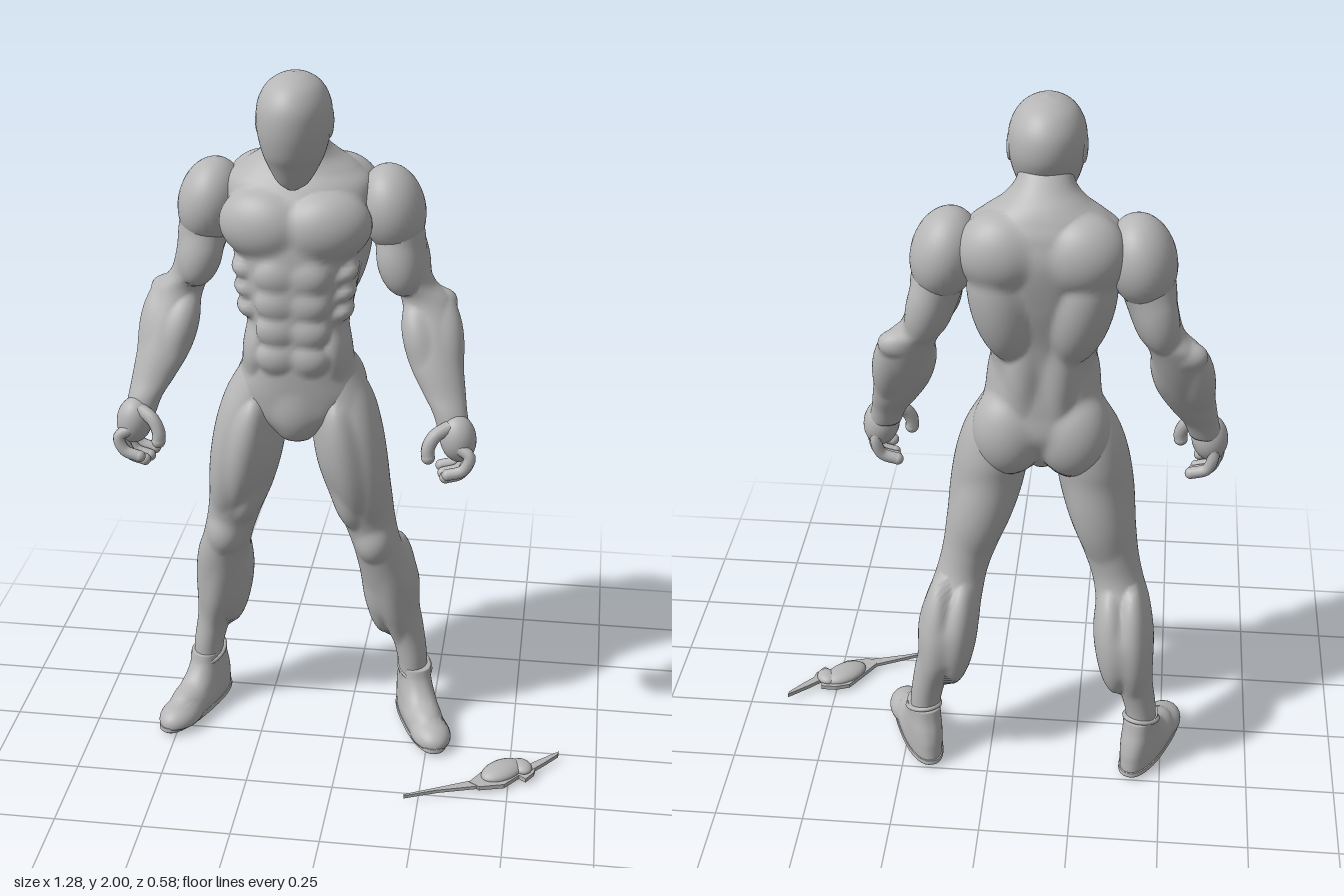
import * as THREE from 'three';

const grey = new THREE.MeshStandardMaterial({ color: 0xb6b6b6 });
grey.name = 'plain grey';

function add(parent, name, geometry) {
  const mesh = new THREE.Mesh(geometry, grey);
  mesh.name = name;
  parent.add(mesh);
  return mesh;
}

// Muscle under the skin: inverse matrix of a scaled, turned ball; side mirrors it across x
function bulge(side, [x, y, z], size, [ax, ay, az] = [0, 0, 0]) {
  const turn = new THREE.Quaternion().setFromEuler(new THREE.Euler(ax, ay * side, az * side));
  return new THREE.Matrix4().compose(new THREE.Vector3(x * side, y, z), turn, new THREE.Vector3(...size)).invert();
}

// Distance from c along unit direction d to the far side of a bulge, or 0
function reach(inverse, c, d) {
  const p = c.clone().applyMatrix4(inverse);
  const q = c.clone().add(d).applyMatrix4(inverse).sub(p);
  const a = q.dot(q), b = p.dot(q), disc = b * b - a * (p.dot(p) - 1);
  return disc > 0 ? (Math.sqrt(disc) - b) / a : 0;
}

function smoothMax(a, b, k = 0.012) {
  const h = Math.max(k - Math.abs(a - b), 0) / k;
  return Math.max(a, b) + h * h * k / 4;
}

// Smooth body through horizontal sections [x, y, z, rx, rz] from low to high, swollen by bulges
function loft(sections, { side = 1, around = 40, steps = 6, power = 2, bulges = [] } = {}) {
  const spline = points => new THREE.CatmullRomCurve3(points, false, 'catmullrom');
  const centre = spline(sections.map(s => new THREE.Vector3(s[0] * side, s[1], s[2])));
  const radius = spline(sections.map(s => new THREE.Vector3(s[3], s[4], 0)));
  const rows = (sections.length - 1) * steps;
  const pos = [], idx = [];
  const bend = v => Math.sign(v) * Math.abs(v) ** (2 / power);
  for (let r = 0; r <= rows; r++) {
    const c = centre.getPoint(r / rows), e = radius.getPoint(r / rows);
    for (let i = 0; i < around; i++) {
      const a = (i / around) * Math.PI * 2;
      const d = new THREE.Vector3(bend(Math.cos(a)) * e.x, 0, bend(Math.sin(a)) * e.y);
      let length = d.length();
      d.normalize();
      for (const b of bulges) length = smoothMax(length, reach(b, c, d));
      pos.push(c.x + d.x * length, c.y, c.z + d.z * length);
    }
  }
  for (let r = 0; r < rows; r++) {
    for (let i = 0; i < around; i++) {
      const a = r * around + i, b = r * around + (i + 1) % around;
      idx.push(a, a + around, b, b, a + around, b + around);
    }
  }
  // end caps
  const first = sections[0], last = sections[sections.length - 1], low = pos.length / 3, top = rows * around;
  pos.push(first[0] * side, first[1], first[2], last[0] * side, last[1], last[2]);
  for (let i = 0; i < around; i++) {
    const j = (i + 1) % around;
    idx.push(low, i, j, low + 1, top + j, top + i);
  }
  const g = new THREE.BufferGeometry();
  g.setAttribute('position', new THREE.Float32BufferAttribute(pos, 3));
  g.setIndex(idx);
  g.computeVertexNormals();
  return g;
}

// Separate rounded part
function ball(parent, name, side, [x, y, z], size, [ax, ay, az] = [0, 0, 0]) {
  const m = add(parent, name, new THREE.SphereGeometry(1, 32, 22));
  m.position.set(x * side, y, z);
  m.scale.set(...size);
  m.rotation.set(ax, ay * side, az * side);
}

function buildTorso(body) {
  const bulges = [bulge(1, [0, 1.07, -0.03], [0.08, 0.11, 0.067])];
  for (const s of [1, -1]) {
    bulges.push(
      bulge(s, [0.085, 1.592, -0.035], [0.122, 0.098, 0.082], [-0.15, 0.2, 0.1]), // pectoral
      bulge(s, [0.1, 1.64, -0.195], [0.115, 0.11, 0.094]), // shoulder blade
      bulge(s, [0.1, 1.5, -0.17], [0.088, 0.19, 0.1], [-0.12, 0, -0.18]), // latissimus
      bulge(s, [0.045, 1.3, -0.165], [0.05, 0.18, 0.05]), // lower back
      bulge(s, [0.1, 1.24, -0.065], [0.05, 0.11, 0.088], [0, 0, 0.12]), // oblique
      bulge(s, [0.085, 1.09, -0.13], [0.1, 0.13, 0.094])); // glute
    for (let i = 0; i < 4; i++) bulges.push(bulge(s, [0.044, 1.462 - i * 0.077, 0.016], [0.056, 0.05, 0.033]));
    for (let i = 0; i < 3; i++) {
      bulges.push(bulge(s, [0.125 - i * 0.006, 1.47 - i * 0.055, -0.045], [0.046, 0.034, 0.055], [0, 0.5, 0.4]));
    }
  }
  add(body, 'torso', loft([
    [0, 0.975, -0.07, 0.035, 0.06], [0, 1.03, -0.075, 0.125, 0.1], [0, 1.1, -0.088, 0.184, 0.12],
    [0, 1.18, -0.085, 0.158, 0.121], [0, 1.28, -0.083, 0.138, 0.12], [0, 1.38, -0.088, 0.154, 0.128],
    [0, 1.5, -0.105, 0.177, 0.144], [0, 1.62, -0.125, 0.194, 0.147], [0, 1.69, -0.14, 0.196, 0.123],
    [0, 1.73, -0.147, 0.158, 0.1], [0, 1.765, -0.143, 0.108, 0.083], [0, 1.8, -0.122, 0.076, 0.071],
    [0, 1.85, -0.09, 0.06, 0.06]], { around: 120, steps: 10, power: 2.2, bulges }));
}

function buildHead(body) {
  add(body, 'head', loft([
    [0, 1.7, -0.008, 0.014, 0.012], [0, 1.718, -0.018, 0.042, 0.034], [0, 1.76, -0.033, 0.068, 0.072],
    [0, 1.8, -0.041, 0.085, 0.102], [0, 1.86, -0.05, 0.098, 0.126], [0, 1.92, -0.052, 0.096, 0.126],
    [0, 1.965, -0.052, 0.075, 0.1], [0, 1.99, -0.052, 0.042, 0.058], [0, 2, -0.052, 0.004, 0.004]], { around: 48 }));
  for (const s of [1, -1]) ball(body, 'earDisc', s, [0.093, 1.87, -0.057], [0.009, 0.04, 0.04]);
}

function buildArm(body, s) {
  const arm = new THREE.Group();
  arm.name = s > 0 ? 'leftArm' : 'rightArm';
  body.add(arm);
  const bulges = [
    bulge(s, [0.27, 1.475, -0.105], [0.057, 0.095, 0.052], [-0.1, 0, 0.25]), // biceps
    bulge(s, [0.292, 1.48, -0.185], [0.054, 0.115, 0.053], [0, 0, 0.25]), // triceps
    bulge(s, [0.382, 1.35, -0.163], [0.046, 0.036, 0.036]), // elbow
    bulge(s, [0.405, 1.255, -0.11], [0.048, 0.12, 0.05], [-0.35, 0, 0.1]), // outer forearm
    bulge(s, [0.332, 1.265, -0.095], [0.046, 0.1, 0.05], [-0.35, 0, 0.25])]; // inner forearm
  add(arm, 'armMuscles', loft([
    [0.44, 1.03, -0.01, 0.044, 0.036], [0.425, 1.08, -0.025, 0.048, 0.042], [0.405, 1.13, -0.05, 0.06, 0.048],
    [0.38, 1.2, -0.08, 0.074, 0.056], [0.365, 1.28, -0.115, 0.074, 0.06], [0.345, 1.36, -0.147, 0.07, 0.058],
    [0.305, 1.41, -0.15, 0.062, 0.064], [0.28, 1.48, -0.145, 0.065, 0.078], [0.265, 1.55, -0.15, 0.072, 0.084],
    [0.25, 1.63, -0.15, 0.07, 0.085]], { side: s, around: 56, steps: 9, bulges }));
  ball(arm, 'deltoid', s, [0.248, 1.612, -0.152], [0.089, 0.123, 0.108], [0, 0, 0.22]);
  // hand with curled fingers
  ball(arm, 'palm', s, [0.452, 1.015, 0.005], [0.05, 0.068, 0.052], [0, 0, 0.15]);
  const digit = (name, points, r) => {
    const curve = new THREE.CatmullRomCurve3(points.map(p => new THREE.Vector3(p[0] * s, p[1], p[2])));
    add(arm, name, new THREE.TubeGeometry(curve, 14, r, 10));
    ball(arm, name + 'Tip', s, points[points.length - 1], [r, r, r]);
  };
  for (let i = 0; i < 4; i++) {
    const z = 0.052 - i * 0.028, y = i === 0 ? 0.022 : i === 3 ? 0.01 : 0, x = i * 0.008;
    digit('finger', [[0.46, 1.0, z * 0.8], [0.488 - x, 0.96 + y, z], [0.472 - x, 0.92 + y, z + 0.004], [0.43 - x, 0.905 + y, z + 0.006]], 0.0165);
  }
  digit('thumb', [[0.43, 1.055, 0.022], [0.392, 1.035, 0.042], [0.374, 1.0, 0.052], [0.375, 0.975, 0.055]], 0.019);
}

function buildLeg(body, s) {
  const leg = new THREE.Group();
  leg.name = s > 0 ? 'leftLeg' : 'rightLeg';
  body.add(leg);
  const out = s > 0 ? 0.022 : 0; // the left foot stands a little wider
  const bulges = [
    bulge(s, [0.182, 0.92, -0.06], [0.066, 0.22, 0.09], [0, 0, 0.16]), // outer thigh
    bulge(s, [0.145, 0.92, -0.012], [0.055, 0.18, 0.064], [0.1, 0, 0.2]), // front thigh
    bulge(s, [0.145, 0.78, -0.055], [0.046, 0.1, 0.062], [0, 0, 0.25]), // inner thigh
    bulge(s, [0.155, 0.85, -0.135], [0.07, 0.18, 0.06], [0, 0, 0.2]), // hamstring
    bulge(s, [0.216, 0.64, -0.062], [0.052, 0.068, 0.05]), // knee
    bulge(s, [0.215 + out / 2, 0.44, -0.172], [0.053, 0.17, 0.087], [0.08, 0, 0.1]), // inner calf
    bulge(s, [0.27 + out / 2, 0.44, -0.172], [0.052, 0.18, 0.089], [0.08, 0, 0.06]), // outer calf
    bulge(s, [0.255 + out / 2, 0.42, -0.115], [0.038, 0.18, 0.046], [0.2, 0, 0.15])]; // shin
  add(leg, 'legMuscles', loft([
    [0.303 + out, 0.1, -0.165, 0.042, 0.05], [0.3 + out, 0.2, -0.165, 0.044, 0.054],
    [0.278 + out, 0.3, -0.17, 0.053, 0.065], [0.254 + out / 2, 0.38, -0.168, 0.074, 0.09],
    [0.243 + out / 2, 0.47, -0.157, 0.083, 0.099], [0.236, 0.55, -0.128, 0.076, 0.087],
    [0.218, 0.62, -0.103, 0.071, 0.077], [0.196, 0.7, -0.095, 0.076, 0.08], [0.17, 0.8, -0.085, 0.09, 0.102],
    [0.148, 0.9, -0.075, 0.097, 0.112], [0.134, 1.0, -0.08, 0.098, 0.114], [0.12, 1.09, -0.085, 0.086, 0.1],
    [0.105, 1.18, -0.085, 0.05, 0.075]], { side: s, around: 64, steps: 8, bulges }));
  // shoe, turned outwards about the ankle
  const shoe = new THREE.Group();
  shoe.name = 'shoe';
  shoe.position.set(s * (0.303 + out * 1.2), 0, -0.165);
  shoe.rotation.y = s * 0.38;
  leg.add(shoe);
  add(shoe, 'sole', loft([
    [0, 0.006, 0.077, 0.05, 0.164], [0, 0.013, 0.077, 0.057, 0.171], [0, 0.026, 0.077, 0.056, 0.17]], { power: 2.4 }));
  const toes = [bulge(1, [0.004, 0.03, 0.165], [0.058, 0.046, 0.08]), bulge(1, [0, 0.05, 0.1], [0.052, 0.05, 0.09])];
  add(shoe, 'shoeUpper', loft([
    [0, 0.02, 0.077, 0.054, 0.167], [0, 0.05, 0.06, 0.055, 0.148], [0, 0.078, 0.032, 0.052, 0.118],
    [0, 0.11, 0.009, 0.049, 0.088], [0, 0.145, 0, 0.046, 0.068], [0, 0.18, -0.002, 0.046, 0.059]],
    { around: 56, power: 2.3, bulges: toes }));
  const cuff = add(shoe, 'ankleCuff', new THREE.TorusGeometry(0.046, 0.007, 10, 32));
  cuff.rotation.x = Math.PI / 2 + 0.35;
  cuff.position.set(0, 0.168, 0);
  cuff.scale.y = 1.25;
}

// Dagger lying on the ground, outlined in x and z
function buildDagger(group) {
  const dagger = new THREE.Group();
  dagger.name = 'dagger';
  group.add(dagger);
  const plate = (name, outline, bottom, height) => {
    const shape = new THREE.Shape(outline.map(p => new THREE.Vector2(...p)));
    const g = new THREE.ExtrudeGeometry(shape, { depth: height, bevelEnabled: false });
    g.rotateX(Math.PI / 2).translate(0, bottom + height, 0);
    add(dagger, name, g);
  };
  plate('blade', [[0.21, 0.29], [0.21, 0.283], [0.39, 0.195], [0.43, 0.17], [0.45, 0.2], [0.41, 0.218], [0.3, 0.252]], 0.009, 0.01);
  plate('guard', [[0.39, 0.2], [0.42, 0.15], [0.46, 0.085], [0.5, 0.07], [0.545, 0.07], [0.55, 0.1], [0.575, 0.11],
    [0.572, 0.13], [0.55, 0.165], [0.53, 0.15], [0.49, 0.2], [0.42, 0.22]], 0.007, 0.013);
  plate('rearSpike', [[0.54, 0.11], [0.58, 0.07], [0.64, 0.018], [0.638, 0.032], [0.6, 0.08], [0.565, 0.12]], 0.009, 0.012);
  ball(dagger, 'grip', 1, [0.48, 0.022, 0.137], [0.07, 0.024, 0.042], [0, 0.75, 0]);
  ball(dagger, 'pommel', 1, [0.535, 0.024, 0.112], [0.028, 0.017, 0.035], [0, 0.6, 0]);
}

export function createModel() {
  const group = new THREE.Group();
  group.name = 'muscularFigure';
  const body = new THREE.Group();
  body.name = 'body';
  body.position.x = -0.136;
  group.add(body);
  buildTorso(body);
  buildHead(body);
  for (const s of [1, -1]) {
    buildArm(body, s);
    buildLeg(body, s);
  }
  buildDagger(group);
  return group;
}
